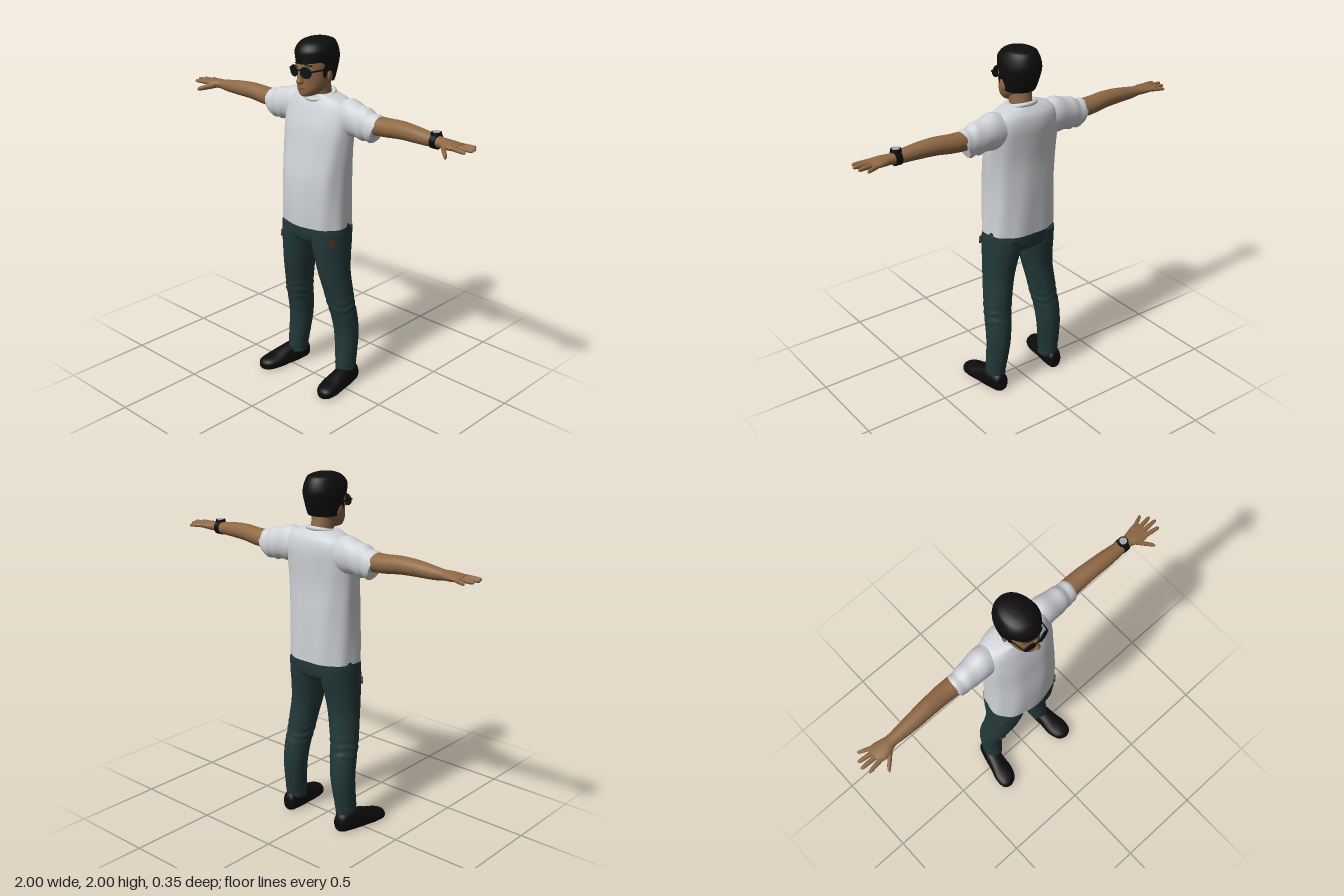
import * as THREE from 'three';

const mat = (name, color) => Object.assign(new THREE.MeshStandardMaterial({ color }), { name });
const skin = mat('skin', 0x8e6844), lip = mat('lips', 0x7a503a), hairBlack = mat('hair black', 0x0d0d0d);
const cotton = mat('shirt white', 0xcfd2d6), denim = mat('denim', 0x233838), rust = mat('rust patch', 0x4e2c1a);
const leather = mat('shoe black', 0x0b0b0c), glass = mat('dark glass', 0x0e1213), steel = mat('dial grey', 0xa4a8ac);

const smooth = THREE.MathUtils.smoothstep;

// Smooth interpolation between the rows of a section table
function sample(rows, f) {
  const i = Math.min(Math.floor(f), rows.length - 2), t = f - i;
  const at = k => rows[Math.max(0, Math.min(rows.length - 1, k))];
  const [a, b, c, d] = [at(i - 1), at(i), at(i + 1), at(i + 2)];
  return b.map((q, k) => 0.5 * (2 * q + (c[k] - a[k]) * t + (2 * a[k] - 5 * q + 4 * c[k] - d[k]) * t * t
    + (3 * q - a[k] - 3 * c[k] + d[k]) * t * t * t));
}

// Rounded body along an axis; rows are [position, centreA, centreB, radiusA, radiusB]
// with (A, B) = (x, z) for axis y, (z, y) for axis x and (y, x) for axis z
function loft(axis, rows, { seg = 32, steps = 5, n = 2, bend } = {}) {
  const pos = [], idx = [], rings = (rows.length - 1) * steps;
  const place = (t, a, b) => axis === 'y' ? new THREE.Vector3(a, t, b)
    : axis === 'x' ? new THREE.Vector3(t, b, a) : new THREE.Vector3(b, a, t);
  const power = v => Math.sign(v) * Math.abs(v) ** (2 / n);
  const ring = i => {
    const [t, ca, cb, ra, rb] = sample(rows, i / steps);
    for (let j = 0; j < seg; j++) {
      const th = j / seg * Math.PI * 2;
      const v = place(t, ca + ra * power(Math.cos(th)), cb + rb * power(Math.sin(th)));
      if (bend) bend(v, i / rings, th, place(t, ca, cb));
      pos.push(v.x, v.y, v.z);
    }
  };
  for (let i = 0; i <= rings; i++) ring(i);
  for (let i = 0; i < rings; i++) for (let j = 0; j < seg; j++) {
    const a = i * seg + j, b = i * seg + (j + 1) % seg;
    idx.push(a, a + seg, b, b, a + seg, b + seg);
  }
  // Flat end caps with their own rings, so that the rims stay sharp
  for (const end of [0, rings]) {
    const s = pos.length / 3, mid = [0, 0, 0];
    ring(end);
    for (let j = 0; j < seg; j++) for (let k = 0; k < 3; k++) mid[k] += pos[(s + j) * 3 + k] / seg;
    pos.push(...mid);
    for (let j = 0; j < seg; j++) {
      const a = s + j, b = s + (j + 1) % seg;
      end ? idx.push(a, s + seg, b) : idx.push(a, b, s + seg);
    }
  }
  const g = new THREE.BufferGeometry();
  g.setAttribute('position', new THREE.Float32BufferAttribute(pos, 3));
  g.setIndex(idx);
  g.computeVertexNormals();
  return g;
}

// Copy of a geometry on the other side of x = 0
function mirrored(geo) {
  const g = geo.clone().scale(-1, 1, 1), ix = g.index.array;
  for (let i = 0; i < ix.length; i += 3) [ix[i], ix[i + 1]] = [ix[i + 1], ix[i]];
  g.computeVertexNormals();
  return g;
}

export function createModel() {
  const model = new THREE.Group();
  const add = (name, geo, m, p = [0, 0, 0], r = [0, 0, 0], s = [1, 1, 1]) => {
    const mesh = new THREE.Mesh(geo, m);
    mesh.name = name;
    mesh.position.set(...p); mesh.rotation.set(...r); mesh.scale.set(...s);
    model.add(mesh);
    return mesh;
  };
  const pair = (name, geo, m) => {
    add('left' + name, geo, m);
    add('right' + name, mirrored(geo), m);
  };
  const ball = new THREE.SphereGeometry(1, 20, 14);

  // Shirt body with soft folds that fade towards the chest
  add('shirtBody', loft('y', [
    [0.98, 0, -0.022, 0.211, 0.15], [1.1, 0, -0.02, 0.208, 0.152], [1.25, 0, -0.022, 0.207, 0.148],
    [1.4, 0, -0.032, 0.214, 0.133], [1.52, 0, -0.045, 0.22, 0.125], [1.6, 0, -0.058, 0.216, 0.115],
    [1.655, 0, -0.063, 0.198, 0.1], [1.685, 0, -0.06, 0.16, 0.082], [1.703, 0, -0.052, 0.09, 0.072],
  ], { seg: 64, n: 2.3, bend: (v, u, th, c) => {
    const k = 1 + 0.014 * (1 - u) * Math.sin(9 * th + 6 * u) + 0.008 * Math.sin(5 * th - 9 * u) * (1 - u * u);
    v.x = c.x + (v.x - c.x) * k; v.z = c.z + (v.z - c.z) * k;
  } }), cotton);
  add('collar', new THREE.TorusGeometry(0.078, 0.012, 10, 40), cotton, [0, 1.694, -0.046], [Math.PI / 2 + 0.24, 0, 0]);

  // Sleeves, with the opening slanted outwards at the top
  pair('Sleeve', loft('x', [
    [0.1, -0.068, 1.6, 0.07, 0.075], [0.19, -0.07, 1.596, 0.077, 0.096], [0.29, -0.07, 1.58, 0.069, 0.088],
    [0.345, -0.071, 1.568, 0.062, 0.078], [0.388, -0.072, 1.562, 0.06, 0.073],
  ], { bend: (v, u, th, c) => {
    v.x += 0.35 * u * (v.y - c.y);
    v.y += 0.004 * Math.sin(u * 22 + Math.sin(th) * 2);
  } }), cotton);

  // Arms and palms
  pair('Arm', loft('x', [
    [0.34, -0.072, 1.585, 0.054, 0.052], [0.45, -0.075, 1.589, 0.052, 0.05], [0.55, -0.07, 1.598, 0.048, 0.047],
    [0.65, -0.065, 1.597, 0.044, 0.042], [0.75, -0.063, 1.592, 0.036, 0.034], [0.8, -0.062, 1.592, 0.033, 0.027],
    [0.84, -0.058, 1.592, 0.044, 0.025], [0.88, -0.058, 1.592, 0.052, 0.02], [0.915, -0.06, 1.593, 0.046, 0.013],
  ]), skin);

  // Fingers: [base x, z, y, tip x, z, y, radius]
  [['LittleFinger', 0.885, -0.095, 1.591, 0.962, -0.126, 1.588, 0.011],
    ['RingFinger', 0.89, -0.074, 1.593, 0.99, -0.086, 1.591, 0.012],
    ['MiddleFinger', 0.89, -0.049, 1.594, 1, -0.05, 1.594, 0.012],
    ['IndexFinger', 0.885, -0.025, 1.593, 0.983, -0.01, 1.591, 0.012],
    ['Thumb', 0.825, -0.04, 1.588, 0.908, 0.042, 1.562, 0.016],
  ].forEach(([name, x0, z0, y0, x1, z1, y1, r]) => {
    const at = (t, k) => [x0 + (x1 - x0) * t, z0 + (z1 - z0) * t, y0 + (y1 - y0) * t, r * k, r * k];
    pair(name, loft('x', [at(0, 1.1), at(0.5, 1), at(0.88, 0.8), at(0.97, 0.5), at(1, 0.1)], { seg: 12, steps: 3 }), skin);
  });

  // Wristwatch
  add('watchBand', new THREE.CylinderGeometry(0.039, 0.039, 0.034, 28), leather, [0.768, 1.592, -0.063], [0, 0, Math.PI / 2]);
  add('watchCase', new THREE.CylinderGeometry(0.027, 0.029, 0.014, 24), leather, [0.768, 1.632, -0.063]);
  add('watchDial', new THREE.CylinderGeometry(0.02, 0.02, 0.004, 24), steel, [0.768, 1.64, -0.063]);

  // Trousers, creased at the knees and ankles
  add('trouserHips', loft('y', [
    [0.855, 0, -0.025, 0.08, 0.07], [0.88, 0, -0.025, 0.17, 0.115], [0.92, 0, -0.025, 0.211, 0.132], [1.0, 0, -0.025, 0.206, 0.136],
  ], { seg: 48, n: 2.3 }), denim);
  pair('TrouserLeg', loft('y', [
    [0.075, 0.19, -0.062, 0.052, 0.06], [0.13, 0.19, -0.066, 0.056, 0.065], [0.3, 0.18, -0.08, 0.068, 0.071],
    [0.42, 0.172, -0.068, 0.074, 0.077], [0.5, 0.163, -0.05, 0.078, 0.08], [0.6, 0.15, -0.035, 0.081, 0.088],
    [0.7, 0.135, -0.022, 0.086, 0.098], [0.8, 0.122, -0.02, 0.095, 0.112], [0.88, 0.112, -0.022, 0.103, 0.125],
    [0.96, 0.11, -0.025, 0.1, 0.13],
  ], { steps: 10, bend: (v, u, th, c) => {
    const crease = Math.max(0, 1 - v.y / 0.28) + Math.max(0, 1 - Math.abs(v.y - 0.5) / 0.1);
    const k = 1 + 0.03 * crease * Math.sin(v.y * 130 + 2 * Math.sin(th * 2));
    v.x = c.x + (v.x - c.x) * k; v.z = c.z + (v.z - c.z) * k;
  } }), denim);

  // Worn patches on thighs and knee
  [[0.194, 0.905, 0.064, 0.8, 1], [-0.2, 0.86, 0.054, -0.85, 1], [-0.18, 0.51, 0.03, -0.2, 0.5]].forEach(([x, y, z, turn, tall]) => {
    const disc = new THREE.CylinderGeometry(0.021, 0.021, 0.009, 9).rotateX(Math.PI / 2);
    add('wornPatch', disc, rust, [x, y, z], [0, turn, 0], [1, tall, 1]);
  });

  // Shoes, toes turned outwards and soles flat
  for (const [name, side, x, splay] of [['leftShoe', 1, 0.2, 0.1], ['rightShoe', -1, -0.212, 0.18]]) {
    add(name, loft('z', [
      [-0.142, 0.045, 0, 0.03, 0.022], [-0.125, 0.052, 0, 0.054, 0.042], [-0.06, 0.055, 0, 0.066, 0.052],
      [0.02, 0.046, 0, 0.058, 0.056], [0.09, 0.036, 0, 0.042, 0.064], [0.145, 0.03, 0, 0.034, 0.054],
      [0.17, 0.026, 0, 0.026, 0.033], [0.179, 0.024, 0, 0.012, 0.012],
    ], { n: 2.3, bend: v => {
      v.x += x + side * splay * (v.z + 0.06);
      v.y = Math.max(v.y, 0.004) - 0.004;
    } }), leather);
  }

  // Neck, head and face
  add('neck', loft('y', [[1.64, 0, -0.055, 0.064, 0.068], [1.7, 0, -0.046, 0.06, 0.065], [1.78, 0, -0.035, 0.06, 0.066]]), skin);
  add('head', loft('y', [
    [1.699, 0, 0.052, 0.02, 0.03], [1.71, 0, 0.036, 0.046, 0.058], [1.74, 0, 0.018, 0.07, 0.082],
    [1.78, 0, -0.005, 0.083, 0.105], [1.83, 0, -0.02, 0.09, 0.12], [1.88, 0, -0.025, 0.093, 0.122],
    [1.93, 0, -0.03, 0.086, 0.112], [1.965, 0, -0.03, 0.055, 0.07], [1.975, 0, -0.03, 0.015, 0.02],
  ], { seg: 40 }), skin);
  add('nose', loft('y', [
    [1.77, 0, 0.098, 0.01, 0.012], [1.782, 0, 0.104, 0.019, 0.025], [1.805, 0, 0.1, 0.013, 0.022], [1.85, 0, 0.094, 0.009, 0.012],
  ], { seg: 16 }), skin);
  add('upperLip', ball, lip, [0, 1.75, 0.096], [0, 0, 0], [0.027, 0.005, 0.009]);
  add('lowerLip', ball, lip, [0, 1.742, 0.095], [0, 0, 0], [0.023, 0.005, 0.009]);

  for (const s of [1, -1]) {
    add('ear', ball, skin, [s * 0.094, 1.812, -0.022], [0.15, s * 0.3, 0], [0.011, 0.034, 0.021]);
    add('sideburn', ball, hairBlack, [s * 0.087, 1.835, 0.008], [0, 0, 0], [0.008, 0.035, 0.016]);
    add('eyebrow', ball, hairBlack, [s * 0.042, 1.872, 0.086], [0, s * 0.4, -s * 0.08], [0.025, 0.005, 0.006]);
    // Sunglasses
    const lens = new THREE.CylinderGeometry(0.032, 0.032, 0.006, 28).rotateX(Math.PI / 2);
    add('lens', lens, glass, [s * 0.042, 1.836, 0.106], [0, s * 0.22, 0], [1, 0.9, 1]);
    add('lensRim', new THREE.TorusGeometry(0.032, 0.0035, 8, 28), leather, [s * 0.042, 1.836, 0.107], [0, s * 0.22, 0], [1, 0.9, 1]);
    add('glassesArm', new THREE.BoxGeometry(0.005, 0.007, 0.13), leather, [s * 0.087, 1.845, 0.04], [0, -s * 0.16, 0]);
  }
  add('glassesBridge', new THREE.BoxGeometry(0.026, 0.006, 0.006), leather, [0, 1.845, 0.113]);

  // Hair: swept up at the front, dropping to the nape at the back
  add('hair', loft('y', [
    [1.875, 0, -0.028, 0.1, 0.13], [1.905, -0.003, -0.03, 0.106, 0.132], [1.94, -0.005, -0.033, 0.107, 0.132],
    [1.975, -0.005, -0.034, 0.086, 0.106], [1.994, -0.005, -0.034, 0.05, 0.062], [2.0, -0.005, -0.034, 0.012, 0.015],
  ], { seg: 48, steps: 6, bend: (v, u) => {
    const back = 1 - smooth(v.z, -0.09, 0.04), low = Math.max(0, 1 - u * 1.6);
    v.y += low * (0.15 * Math.max(0, v.x) * (1 - back) - 0.1 * back);
    v.z += 0.038 * back * low * low;
  } }), hairBlack);

  return model;
}
